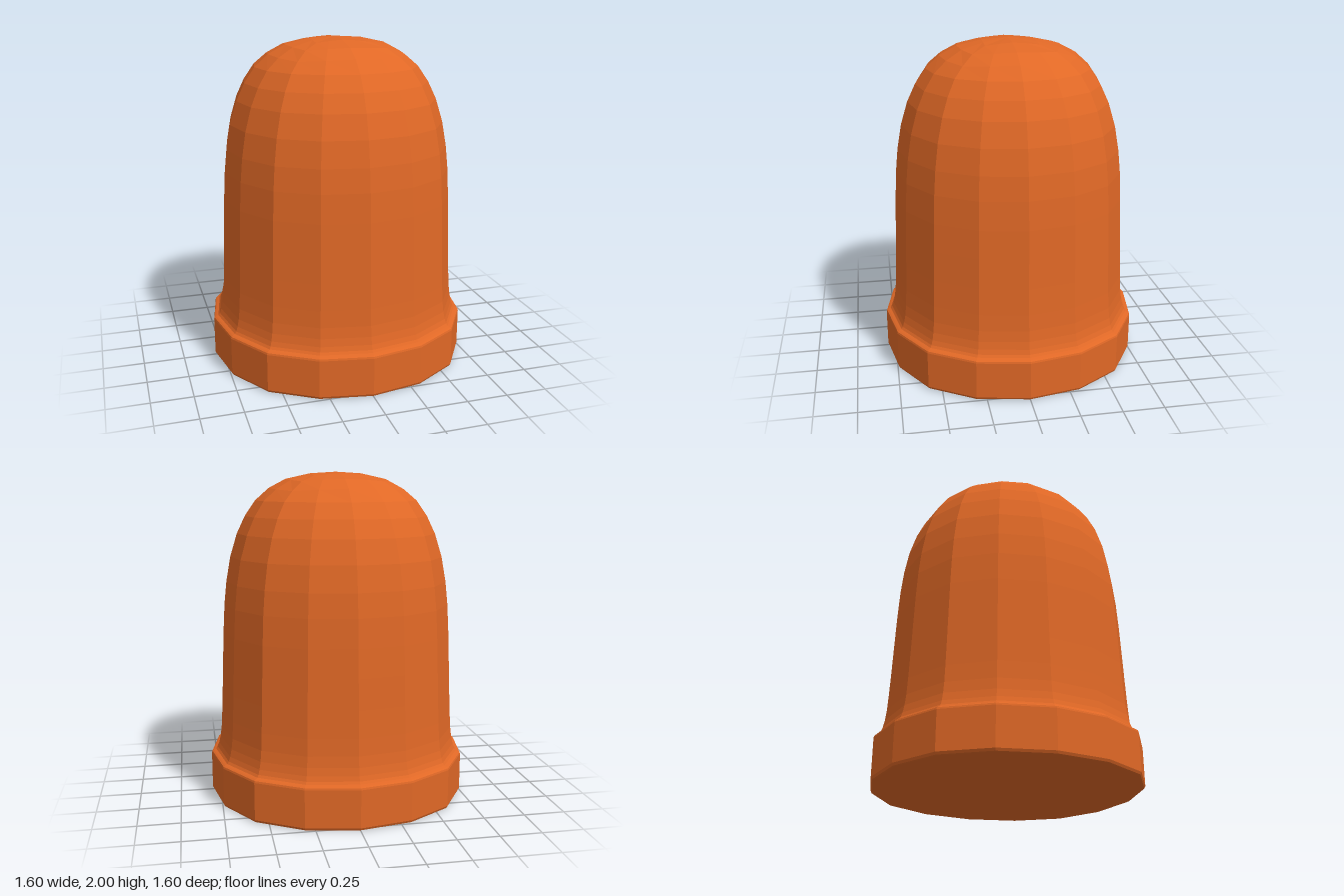
import * as THREE from 'three';

const SIDES = 16;

// One 16-sided ring [radius, height, squareness]; squareness 1 is a full square
function ringPoint([r, y, k = 0], i) {
  const quarter = Math.floor(i / 4) % 4;
  const step = i % 4;
  const lerp = THREE.MathUtils.lerp;
  const a = lerp(0.93, 1, k), b = lerp(0.39, 0.5, k), c = lerp(0.725, 1, k);
  const [u, v] = [[1, 0], [a, b], [c, c], [b, a]][step];
  const drop = k > 0 ? [0, 0.006, 0.015, 0.006][step] : 0;
  const p = [[u, v], [-v, u], [-u, -v], [v, -u]][quarter];
  return [p[0] * r, r > 0 ? y - drop : y, p[1] * r];
}

// Skin the rings from bottom to top; a ring of radius 0 closes the end
function loft(rings, material, name) {
  const pos = [];
  for (let j = 0; j < rings.length - 1; j++) {
    for (let i = 0; i < SIDES; i++) {
      const a = ringPoint(rings[j], i), b = ringPoint(rings[j + 1], i);
      const c = ringPoint(rings[j + 1], i + 1), d = ringPoint(rings[j], i + 1);
      if (rings[j + 1][0] > 0) pos.push(...a, ...b, ...c);
      if (rings[j][0] > 0) pos.push(...a, ...c, ...d);
    }
  }
  const geometry = new THREE.BufferGeometry();
  geometry.setAttribute('position', new THREE.Float32BufferAttribute(pos, 3));
  geometry.computeVertexNormals();
  const mesh = new THREE.Mesh(geometry, material);
  mesh.name = name;
  return mesh;
}

export function createModel() {
  const group = new THREE.Group();
  group.name = 'domedCap';
  const orange = new THREE.MeshStandardMaterial({ color: 0xe06826, flatShading: true });

  // Thick collar with small bevels and a flat underside
  group.add(loft([
    [0, 0], [0.782, 0], [0.793, 0.004], [0.8, 0.018],
    [0.8, 0.245], [0.797, 0.256], [0.787, 0.262], [0.772, 0.268],
  ], orange, 'baseCollar'));

  // Tapering body with a flared foot and a squarish crown
  group.add(loft([
    [0.772, 0.268], [0.762, 0.282], [0.752, 0.31], [0.742, 0.355], [0.734, 0.42],
    [0.728, 0.52], [0.721, 0.68], [0.714, 0.86], [0.707, 1.03], [0.697, 1.2],
    [0.682, 1.34], [0.655, 1.49], [0.612, 1.63], [0.562, 1.735], [0.498, 1.828],
    [0.415, 1.902, 0.08], [0.31, 1.957, 0.25], [0.16, 1.99, 1], [0, 2],
  ], orange, 'domeBody'));

  return group;
}
